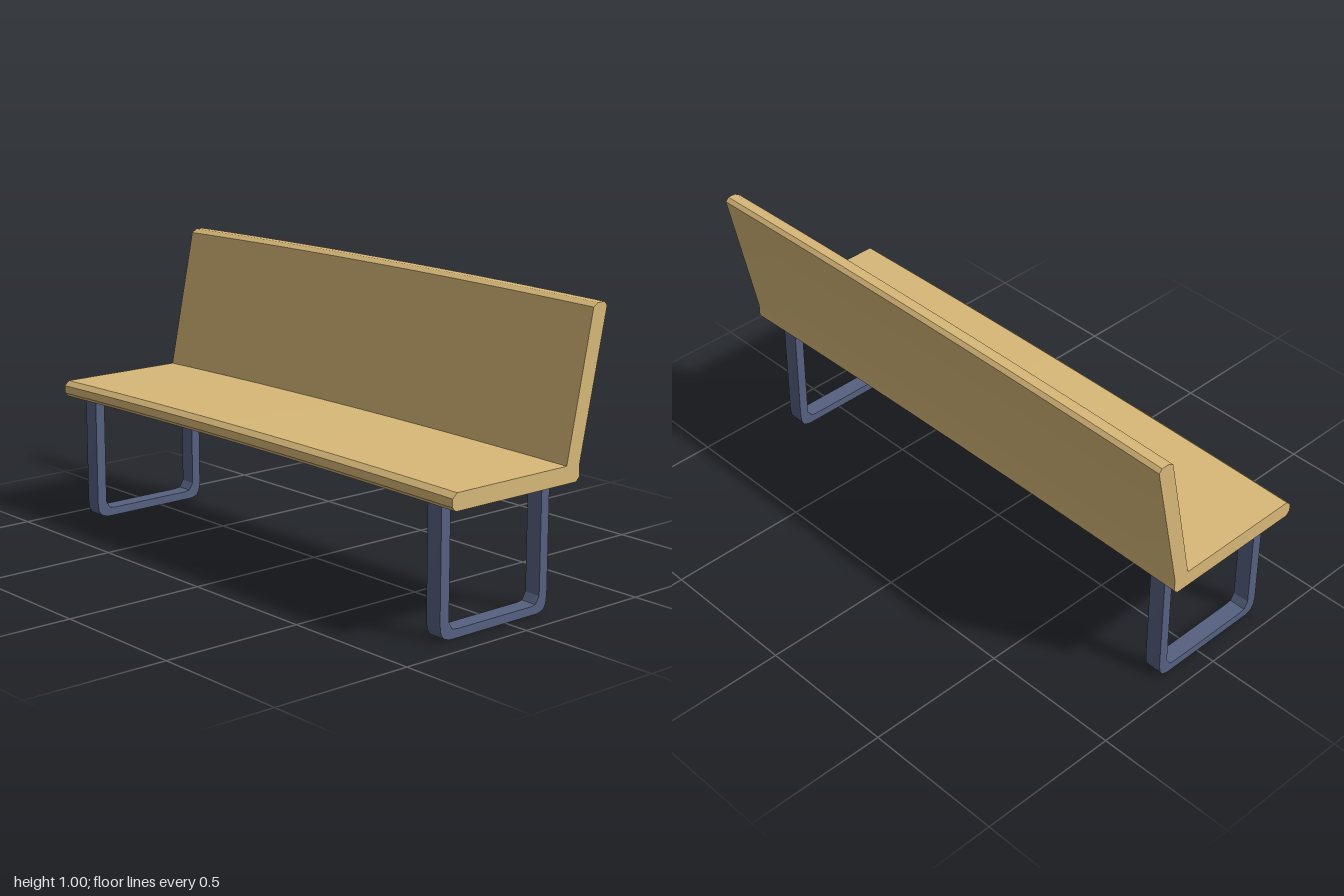
import * as THREE from 'three';
import { toCreasedNormals } from 'three/addons/utils/BufferGeometryUtils.js';

const wood = new THREE.MeshStandardMaterial({ color: 0xd8b878 });
const steel = new THREE.MeshStandardMaterial({ color: 0x566180 });

// Extrudes a side outline of [z, y] points across x, centred on x = 0.
function extrudeSide(points, width, steps) {
  const shape = new THREE.Shape(points.map(([z, y]) => new THREE.Vector2(z, y)));
  const geometry = new THREE.ExtrudeGeometry(shape, { depth: width, steps, bevelEnabled: false });
  geometry.translate(0, 0, -width / 2);
  geometry.rotateY(-Math.PI / 2);
  return geometry;
}

// One-piece seat and backrest with chamfered edges, arched gently along its length
function makeSeat() {
  const outline = [
    [0.31, 0.435], [0.324, 0.449], [0.324, 0.476], [0.306, 0.492],
    [-0.16, 0.492], [-0.261, 0.974], [-0.281, 0.986], [-0.309, 0.986],
    [-0.321, 0.973], [-0.218, 0.492], [-0.218, 0.449], [-0.204, 0.435],
  ];
  const geometry = extrudeSide(outline, 2, 12);
  const position = geometry.attributes.position;
  for (let i = 0; i < position.count; i++) {
    const x = position.getX(i);
    position.setY(i, position.getY(i) + 0.011 * (1 - x * x));
  }
  const seat = new THREE.Mesh(toCreasedNormals(geometry, 0.3), wood);
  seat.name = 'seatAndBackrest';
  return seat;
}

// U-shaped leg frame of flat bar with rounded lower corners
function makeLegFrame(x, name) {
  const outline = [
    [0.281, 0.436], [0.281, 0.055], [0.277, 0.026], [0.266, 0.009], [0.244, 0.001],
    [0.235, 0], [-0.136, 0], [-0.148, 0.001], [-0.168, 0.009], [-0.178, 0.026],
    [-0.182, 0.055], [-0.182, 0.44], [-0.148, 0.44], [-0.148, 0.057],
    [-0.132, 0.032], [-0.11, 0.029], [0.205, 0.029], [0.229, 0.032],
    [0.244, 0.057], [0.244, 0.436],
  ];
  const geometry = toCreasedNormals(extrudeSide(outline, 0.06, 1), 0.5);
  const leg = new THREE.Mesh(geometry, steel);
  leg.position.x = x;
  leg.name = name;
  return leg;
}

export function createModel() {
  const bench = new THREE.Group();
  bench.name = 'bench';
  bench.add(makeSeat(), makeLegFrame(0.88, 'leftLegFrame'), makeLegFrame(-0.9, 'rightLegFrame'));
  return bench;
}
